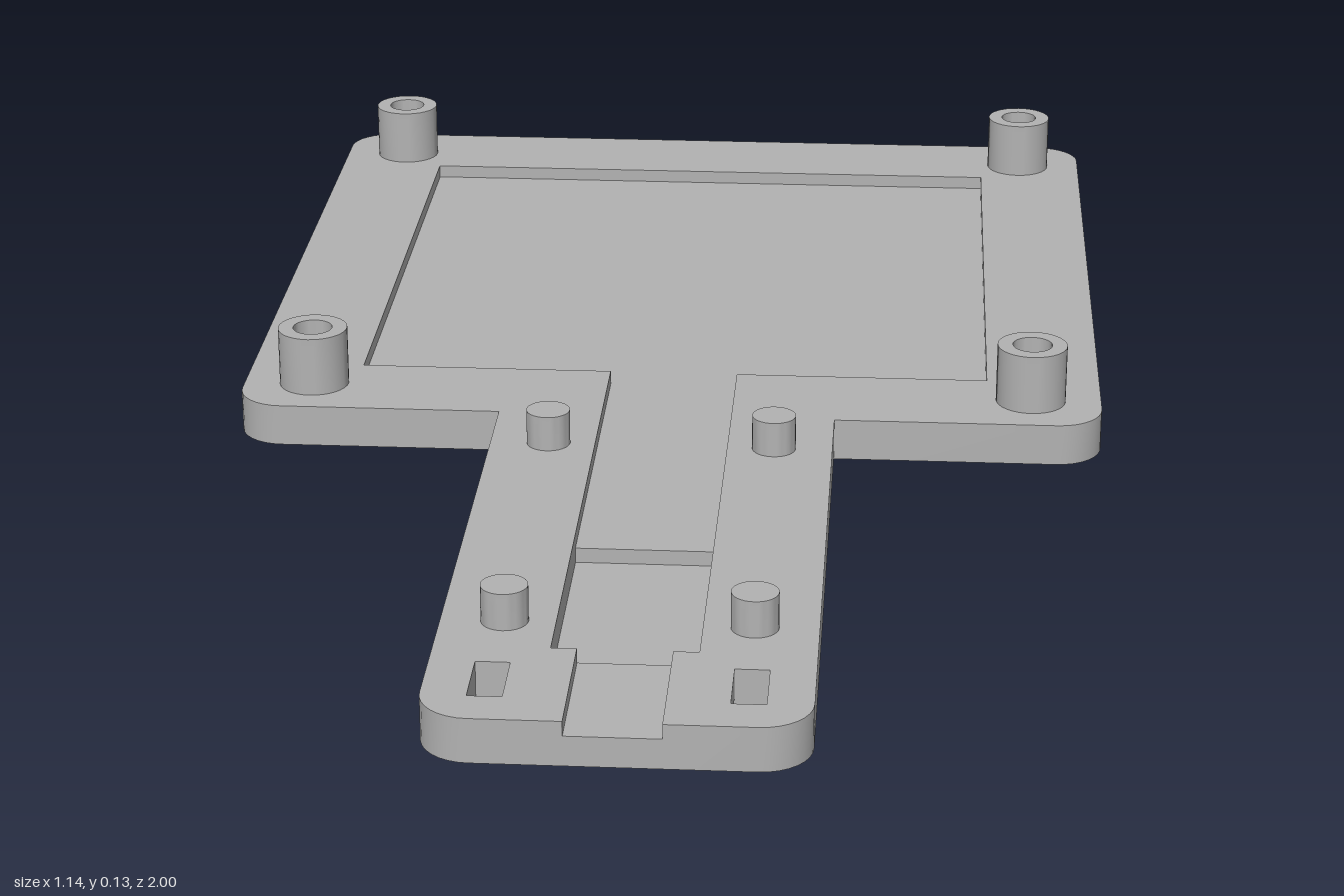
import * as THREE from 'three';
import { mergeGeometries, toCreasedNormals } from 'three/addons/utils/BufferGeometryUtils.js';

const TOP = 0.055, FLOOR = 0.037, DEEP = 0.018;

// Plan points are [x, v] with v = -z; an optional third value rounds the corner.
function plan(corners) {
  const out = [];
  corners.forEach(([x, v, r], i) => {
    const p = new THREE.Vector2(x, v);
    if (!r) { out.push(p); return; }
    const towards = (c) => new THREE.Vector2(c[0], c[1]).sub(p).normalize().multiplyScalar(r);
    const a = towards(corners[i - 1]), b = towards(corners[i + 1]);
    const centre = p.clone().add(a).add(b);
    for (let k = 0; k <= 8; k++) {
      const t = (k / 8) * Math.PI / 2;
      out.push(centre.clone().addScaledVector(b, -Math.cos(t)).addScaledVector(a, -Math.sin(t)));
    }
  });
  return out;
}

// Clockwise rectangle, so its walls face inwards
const rect = (x0, x1, z0, z1) => plan([[x0, -z1], [x0, -z0], [x1, -z0], [x1, -z1]]);

// Horizontal face at height y
function cap(points, y, holes = [], down = false) {
  const shape = new THREE.Shape(points);
  shape.holes = holes.map((h) => new THREE.Path(h));
  const g = new THREE.ShapeGeometry(shape).rotateX(-Math.PI / 2).translate(0, y, 0);
  if (down) {
    const ix = g.index.array;
    for (let i = 0; i < ix.length; i += 3) [ix[i], ix[i + 1]] = [ix[i + 1], ix[i]];
  }
  const flat = g.toNonIndexed();
  flat.deleteAttribute('uv');
  flat.computeVertexNormals();
  return flat;
}

// Vertical wall along a path, facing to the right of travel
function wall(points, y0, y1, closed = false) {
  const pos = [], n = points.length;
  for (let i = 0; i < (closed ? n : n - 1); i++) {
    const a = points[i], b = points[(i + 1) % n];
    pos.push(a.x, y0, -a.y, b.x, y0, -b.y, b.x, y1, -b.y);
    pos.push(a.x, y0, -a.y, b.x, y1, -b.y, a.x, y1, -a.y);
  }
  const g = new THREE.BufferGeometry();
  g.setAttribute('position', new THREE.Float32BufferAttribute(pos, 3));
  g.computeVertexNormals();
  return toCreasedNormals(g, 0.5);
}

export function createModel() {
  const group = new THREE.Group();
  const grey = new THREE.MeshStandardMaterial({ color: 0xb2b2b2 });
  grey.name = 'plain grey';
  const add = (name, geometry, x = 0, z = 0) => {
    const mesh = new THREE.Mesh(geometry, grey);
    mesh.name = name;
    mesh.position.set(x, 0, z);
    group.add(mesh);
  };

  // Outer edge of plate and handle, open at the front groove
  const outline = plan([
    [0.055, -1], [0.22, -1, 0.06], [0.22, -0.13], [0.57, -0.13, 0.06], [0.57, 1, 0.06],
    [-0.57, 1, 0.06], [-0.57, -0.13, 0.06], [-0.22, -0.13], [-0.22, -1, 0.06], [-0.055, -1],
  ]);
  // Edge of the pocket, neck and groove
  const pocket = plan([
    [-0.055, -1], [-0.055, -0.82], [-0.085, -0.82], [-0.085, 0.02], [-0.42, 0.02], [-0.42, 0.85],
    [0.42, 0.85], [0.42, 0.02], [0.085, 0.02], [0.085, -0.82], [0.055, -0.82], [0.055, -1],
  ]);
  const slots = [rect(-0.167, -0.127, 0.86, 0.945), rect(0.127, 0.167, 0.86, 0.945)];
  const channel = rect(-0.167, 0.167, 0.86, 0.945);
  const deep = rect(-0.085, 0.085, 0.51, 0.82);

  add('body', mergeGeometries([
    cap([...outline, ...pocket.slice(1, -1)], TOP, slots),
    cap(outline, 0, [channel], true),
    wall(outline, 0, TOP),
    wall(plan([[-0.055, -1], [0.055, -1]]), 0, FLOOR),
  ]));

  add('pocket', mergeGeometries([
    wall(pocket, FLOOR, TOP),
    cap(rect(-0.42, 0.42, -0.85, -0.02), FLOOR),
    cap(rect(-0.085, 0.085, -0.02, 0.51), FLOOR),
    cap(rect(-0.055, 0.055, 0.82, 1), FLOOR),
    wall(deep, DEEP, FLOOR, true),
    cap(deep, DEEP),
  ]));

  // Strap slots joined by a channel underneath
  add('strapChannel', mergeGeometries([
    ...slots.map((s) => wall(s, DEEP, TOP, true)),
    wall(channel, 0, DEEP, true),
    cap(rect(-0.127, 0.127, 0.86, 0.945), DEEP, [], true),
  ]));

  const turned = (profile) => toCreasedNormals(
    new THREE.LatheGeometry(profile.map(([r, y]) => new THREE.Vector2(r, y)), 32), 0.5);
  const standoff = turned([[0.046, TOP], [0.046, 0.134], [0.026, 0.134], [0.026, TOP + 0.001], [0, TOP + 0.001]]);
  const peg = turned([[0.028, TOP], [0.028, 0.101], [0, 0.101]]);
  for (const side of [-1, 1]) {
    const label = side > 0 ? 'left' : 'right';
    for (const z of [-0.91, 0.045]) add(label + 'Standoff', standoff, side * 0.477, z);
    for (const z of [0.228, 0.752]) add(label + 'Peg', peg, side * 0.145, z);
  }
  return group;
}
